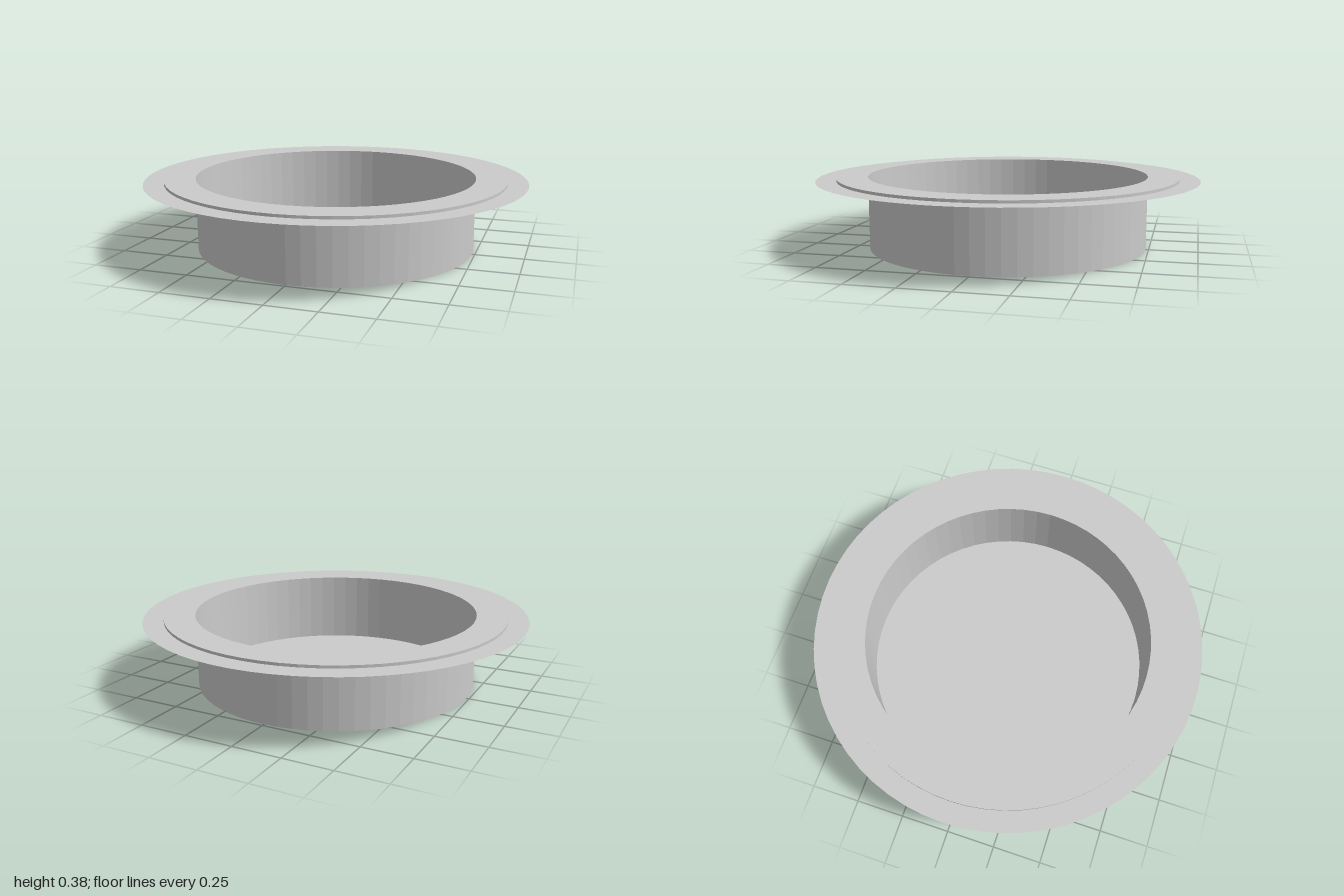
import * as THREE from 'three';

const SEGMENTS = 64;
const CUP_RADIUS = 0.735;
const RIM_RADIUS = 0.895;
const FLANGE_RADIUS = 1;
const RIM_Y = 0.375;
const FLANGE_Y = 0.361;

export function createModel() {
  const group = new THREE.Group();
  group.name = 'flangedDish';
  const material = new THREE.MeshStandardMaterial({
    color: 0xcccccc,
    flatShading: true,
    side: THREE.DoubleSide,
  });

  // Thin sheet turned about the y axis from one straight profile segment
  const addSheet = (name, r0, y0, r1, y1) => {
    const profile = [new THREE.Vector2(r0, y0), new THREE.Vector2(r1, y1)];
    const mesh = new THREE.Mesh(new THREE.LatheGeometry(profile, SEGMENTS), material);
    mesh.name = name;
    group.add(mesh);
  };

  // Flat base of the cup
  const base = new THREE.Mesh(new THREE.CircleGeometry(CUP_RADIUS, SEGMENTS), material);
  base.rotation.x = -Math.PI / 2;
  base.name = 'base';
  group.add(base);

  // Upright cup wall
  addSheet('cupWall', CUP_RADIUS, 0, CUP_RADIUS, RIM_Y);
  // Raised rim around the opening
  addSheet('raisedRim', CUP_RADIUS, RIM_Y, RIM_RADIUS, RIM_Y);
  // Small step down from the rim
  addSheet('rimStep', RIM_RADIUS, FLANGE_Y, RIM_RADIUS, RIM_Y);
  // Outer flange, slightly lower than the rim
  addSheet('outerFlange', RIM_RADIUS, FLANGE_Y, FLANGE_RADIUS, FLANGE_Y);

  return group;
}
